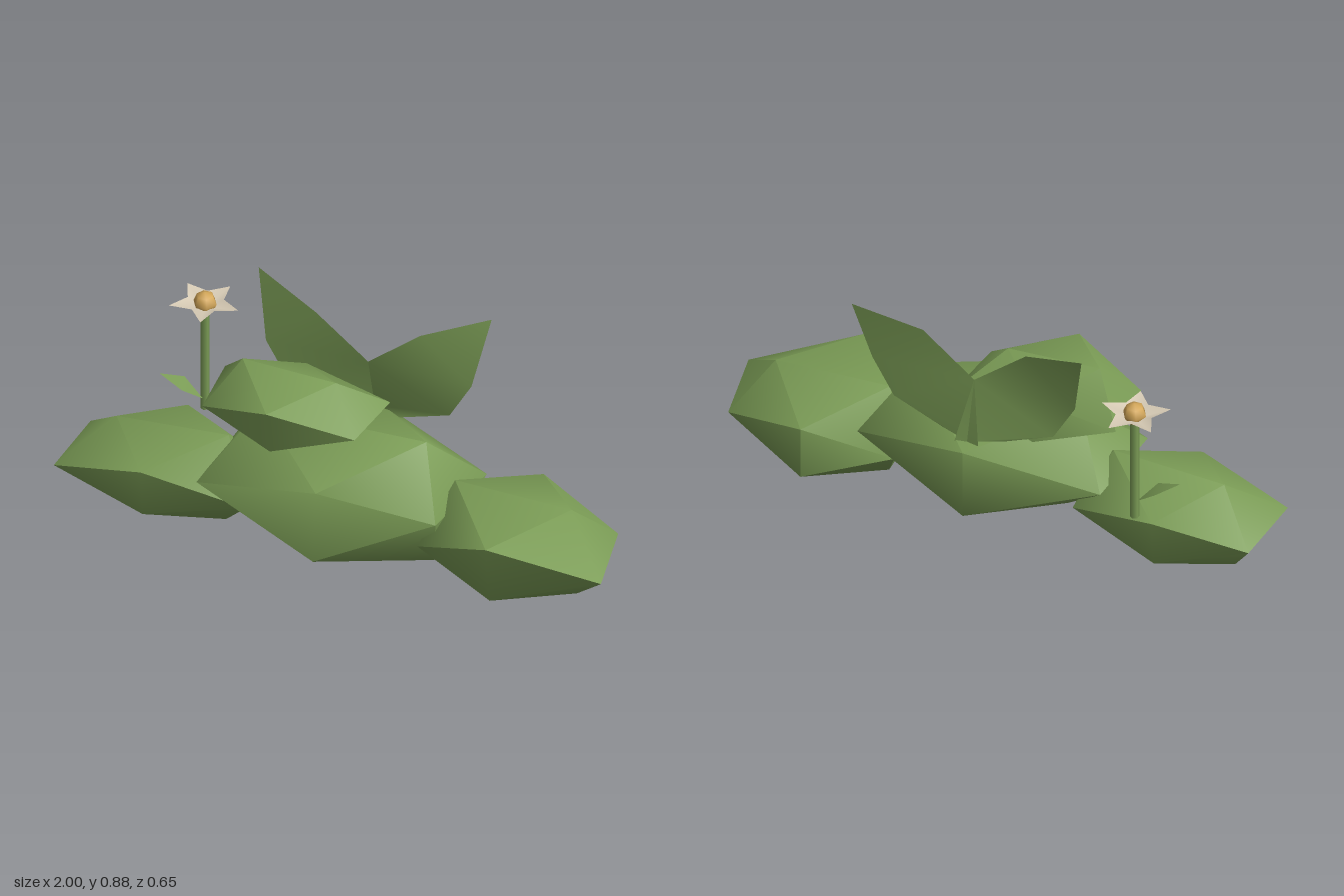
import * as THREE from 'three';
import { toCreasedNormals } from 'three/addons/utils/BufferGeometryUtils.js';

const green = new THREE.MeshStandardMaterial({ name: 'leaf green', color: 0x7a9b55, side: THREE.DoubleSide });
const cream = new THREE.MeshStandardMaterial({ name: 'petal cream', color: 0xd8ccb6, side: THREE.DoubleSide });
const gold = new THREE.MeshStandardMaterial({ name: 'pollen gold', color: 0xd6a95a });

// Face order of a twenty-sided solid
const FACES = [
  0, 11, 5, 0, 5, 1, 0, 1, 7, 0, 7, 10, 0, 10, 11, 1, 5, 9, 5, 11, 4, 11, 10, 2, 10, 7, 6, 7, 1, 8,
  3, 9, 4, 3, 4, 2, 3, 2, 6, 3, 6, 8, 3, 8, 9, 4, 9, 5, 2, 4, 11, 6, 2, 10, 8, 6, 7, 9, 8, 1,
];

function surface(points, index) {
  const g = new THREE.BufferGeometry();
  g.setAttribute('position', new THREE.Float32BufferAttribute(points.flat(), 3));
  g.setIndex(index);
  g.computeVertexNormals();
  return g;
}

function add(parent, name, geometry, material) {
  const mesh = new THREE.Mesh(geometry, material);
  mesh.name = name;
  parent.add(mesh);
  return mesh;
}

// Lumpy cushion: top and bottom ridges run along x, corners at the sides, points at front and back
function cushion(parent, name, s, crease) {
  const [t0, t1, b0, b1] = s.ridges.map(([x, y]) => [x, y, 0.01]);
  const [fl, fu, bl, bu] = s.frontBack.map(([y, z]) => [s.x, y, z]);
  const [rb, rf, lb, lf] = s.corners.map(([x, z], i) => [x, s.sideY[i >> 1], z]);
  const g = surface([t0, t1, b0, b1, fl, fu, bl, bu, rb, rf, lb, lf], FACES);
  return add(parent, name, toCreasedNormals(g, THREE.MathUtils.degToRad(crease)), green);
}

export function createModel() {
  const model = new THREE.Group();
  model.name = 'succulent plant';

  // Fleshy cushions
  cushion(model, 'rightCushion', {
    x: -0.66, sideY: [0.18, 0.18],
    ridges: [[-0.83, 0.33], [-0.42, 0.355], [-0.87, 0.005], [-0.43, 0.005]],
    frontBack: [[0.09, 0.2], [0.275, 0.22], [0.09, -0.2], [0.27, -0.22]],
    corners: [[-0.33, -0.13], [-0.3, 0.16], [-0.98, -0.13], [-1, 0.16]],
  }, 46);
  cushion(model, 'leftCushion', {
    x: 0.63, sideY: [0.205, 0.19],
    ridges: [[0.405, 0.38], [0.83, 0.365], [0.41, 0.025], [0.85, 0.025]],
    frontBack: [[0.1, 0.26], [0.335, 0.3], [0.1, -0.24], [0.3, -0.24]],
    corners: [[0.945, -0.13], [1, 0.17], [0.33, -0.13], [0.33, 0.17]],
  }, 46);
  cushion(model, 'middleCushion', {
    x: 0.01, sideY: [0.3, 0.28],
    ridges: [[-0.3, 0.5], [0.3, 0.51], [-0.25, 0.08], [0.33, 0.03]],
    frontBack: [[0.145, 0.325], [0.41, 0.3], [0.15, -0.285], [0.415, -0.285]],
    corners: [[0.45, -0.17], [0.4, 0.18], [-0.44, -0.15], [-0.46, 0.21]],
  }, 60);
  cushion(model, 'topCushion', {
    x: -0.2, sideY: [0.54, 0.54],
    ridges: [[-0.37, 0.685], [-0.03, 0.67], [-0.33, 0.425], [0, 0.44]],
    frontBack: [[0.46, 0.19], [0.635, 0.225], [0.45, -0.175], [0.605, -0.15]],
    corners: [[0.115, -0.125], [0.085, 0.13], [-0.485, -0.12], [-0.47, 0.13]],
  }, 46);

  // Pair of tall bent leaves
  for (const side of [-1, 1]) {
    const points = [
      [-0.045, 0.42, -0.245], [0, 0.395, -0.205],
      [0, 0.65, -0.175], [0.295, 0.5, -0.18],
      [0.19, 0.805, -0.175], [0.375, 0.64, -0.18],
      [0.425, 0.89, -0.24],
    ].map(([x, y, z]) => [0.015 + side * x, y, z]);
    let index = [0, 1, 3, 0, 3, 2, 2, 3, 5, 2, 5, 4, 4, 5, 6];
    if (side < 0) index = index.reverse();
    add(model, side < 0 ? 'rightTallLeaf' : 'leftTallLeaf', surface(points, index), green);
  }

  // Flower with stem, small leaf, petals and centre
  const flower = new THREE.Group();
  flower.name = 'flower';
  flower.position.set(-0.595, 0, -0.213);
  model.add(flower);

  const stem = add(flower, 'stem', new THREE.CylinderGeometry(0.016, 0.016, 0.42, 6), green);
  stem.position.y = 0.49;

  add(flower, 'smallLeaf', surface([
    [0, 0.33, 0.02], [-0.055, 0.385, 0.075], [-0.075, 0.39, 0.0], [-0.145, 0.42, 0.055],
  ], [0, 2, 1, 1, 2, 3]), green);

  // Five-pointed star dipping to its middle
  const star = [[0, 0.695, 0]];
  const starIndex = [];
  for (let i = 0; i < 10; i++) {
    const a = THREE.MathUtils.degToRad(4 + i * 36);
    const r = i % 2 ? 0.065 : 0.125;
    star.push([r * Math.cos(a), 0.718, r * Math.sin(a)]);
    starIndex.push(0, ((i + 1) % 10) + 1, i + 1);
  }
  add(flower, 'petals', surface(star, starIndex), cream);

  const centre = add(flower, 'flowerCentre', new THREE.SphereGeometry(0.042, 6, 4), gold);
  centre.position.y = 0.715;

  return model;
}
